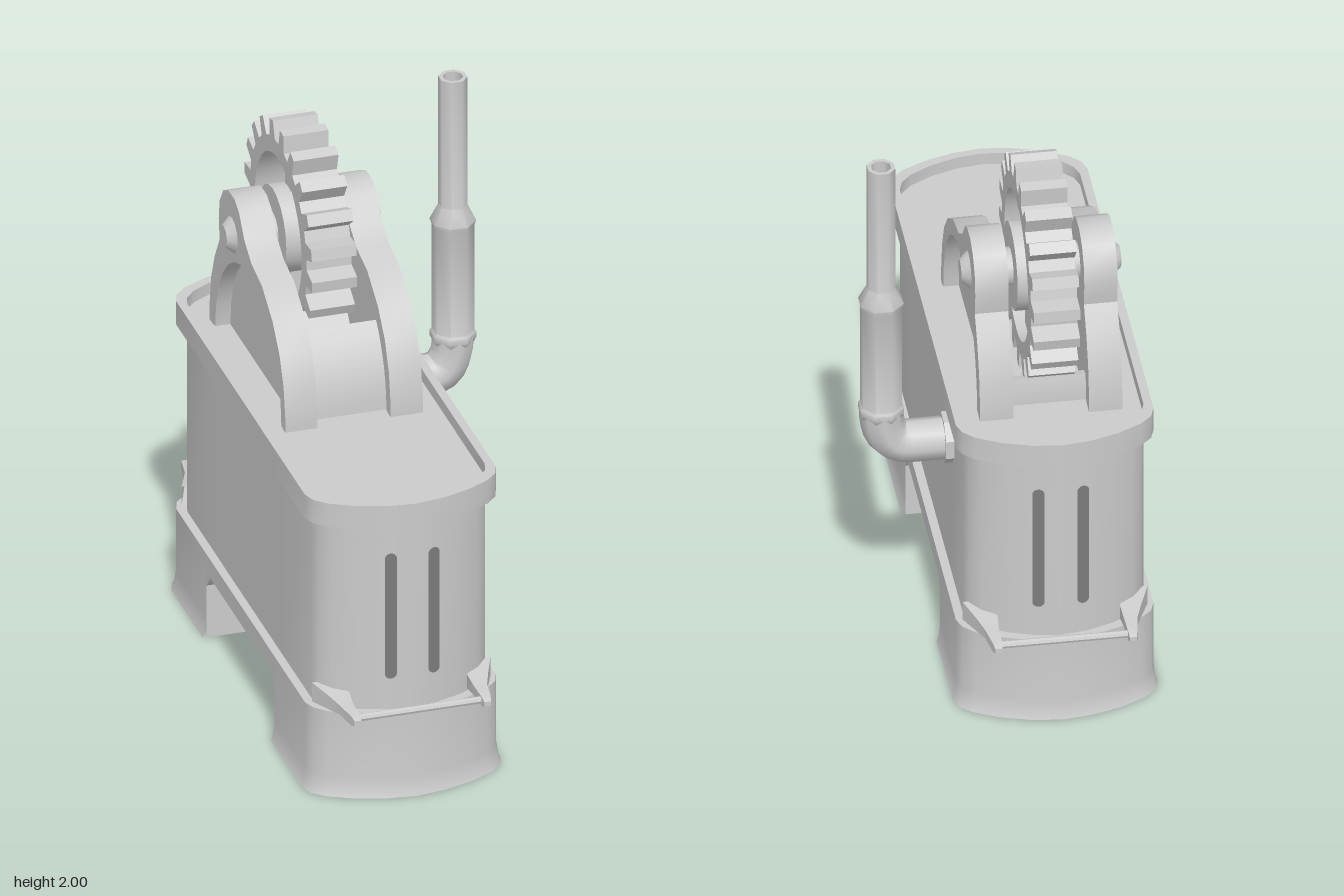
import * as THREE from 'three';
import { toCreasedNormals } from 'three/addons/utils/BufferGeometryUtils.js';

const grey = new THREE.MeshStandardMaterial({ color: 0xcccccc, side: THREE.DoubleSide });
const dark = new THREE.MeshStandardMaterial({ color: 0x7c7c7c, side: THREE.DoubleSide });

function add(parent, name, geometry, crease = 0.6, material = grey) {
  const mesh = new THREE.Mesh(toCreasedNormals(geometry, crease), material);
  mesh.name = name;
  parent.add(mesh);
  return mesh;
}

// Skin a list of equally long point rings
function loft(rings, closed = true) {
  const n = rings[0].length, index = [];
  const steps = closed ? n : n - 1;
  for (let r = 0; r < rings.length - 1; r++) {
    for (let i = 0; i < steps; i++) {
      const a = r * n + i, b = r * n + (i + 1) % n;
      index.push(a, a + n, b, b, a + n, b + n);
    }
  }
  const g = new THREE.BufferGeometry();
  g.setAttribute('position', new THREE.Float32BufferAttribute(rings.flat(2), 3));
  g.setIndex(index);
  return g;
}

// Rounded end of the footprint, from the +x side round to the -x side
const quarter = [[0.34, 0.385], [0.34, 0.73], [0.325, 0.775], [0.285, 0.815], [0.2, 0.86], [0.1, 0.892], [0, 0.905]];
function endCurve(inset, y, side = 1) {
  const half = quarter.map(([x, z], i) => [x * (0.34 - inset) / 0.34, y, i ? z - Math.min(inset, 0.045) : z]);
  const other = half.slice(0, -1).reverse().map(([x, yy, z]) => [-x, yy, z]);
  return [...half, ...other].map(([x, yy, z]) => [x * side, yy, z * side]);
}
const loop = (inset, y) => [...endCurve(inset, y), ...endCurve(inset, y, -1)];

// Shape drawn in (z, y), extruded along x
function extrudeX(shape, x0, width) {
  const g = new THREE.ExtrudeGeometry(shape, { depth: width, bevelEnabled: false, curveSegments: 16 });
  return g.rotateY(-Math.PI / 2).translate(x0 + width, 0, 0);
}
const shapeOf = pts => new THREE.Shape(pts.map(p => new THREE.Vector2(...p)));
function arc(radius, from, to, steps = 14) {
  return Array.from({ length: steps + 1 }, (_, i) => {
    const t = from + (to - from) * i / steps;
    return [-0.215 + radius * Math.cos(t), 1.08 + (radius + 0.02) * Math.sin(t)];
  });
}

function buildBody(g) {
  add(g, 'tank', loft([loop(0.34, 0.32), loop(0, 0.32), loop(0.03, 0.32), loop(0.03, 1.03)]));
  add(g, 'rimAndDeck', loft([loop(0.03, 1.03), loop(0, 1.03), loop(0, 1.12), loop(0.03, 1.12), loop(0.03, 1.075), loop(0.34, 1.075)]));

  // Hollow feet joined by an arch
  for (const s of [1, -1]) {
    add(g, s > 0 ? 'frontFoot' : 'backFoot', loft([[-0.013, 0], [-0.006, 0.02], [0, 0.07], [0, 0.32]].map(([d, y]) => endCurve(d, y, s)), false));
    const panel = shapeOf([[-0.385, 0.32], [-0.385, 0.2], [-0.345, 0.25], [0.345, 0.25], [0.385, 0.2], [0.385, 0.32]]);
    add(g, 'archSide', new THREE.ShapeGeometry(panel).rotateY(-Math.PI / 2).translate(0.34 * s, 0, 0));
  }
  const arch = [[-0.385, 0], [-0.385, 0.2], [-0.345, 0.25], [0.345, 0.25], [0.385, 0.2], [0.385, 0]];
  add(g, 'archTunnel', loft([0.34, -0.34].map(x => arch.map(([z, y]) => [x, y, z])), false));

  // Pairs of rounded slots at both ends
  const slot = new THREE.Shape();
  slot.absarc(0, 0.9, 0.021, 0, Math.PI);
  slot.absarc(0, 0.46, 0.021, Math.PI, Math.PI * 2);
  for (const end of [0, Math.PI]) {
    for (const s of [1, -1]) {
      const geo = new THREE.ShapeGeometry(slot).rotateY(s * 0.14).translate(s * 0.077, 0, 0.868);
      add(g, 'slot', geo.rotateY(end), 0.6, dark);
    }
  }
}

function buildHandle() {
  const g = new THREE.Group();
  g.name = 'handle';
  // z, outer x, inner x, bottom, top
  const sections = [[0.74, 0.318, 0.25, 0.325, 0.397], [0.82, 0.285, 0.21, 0.33, 0.383], [0.88, 0.262, 0.215, 0.335, 0.37],
    [0.965, 0.248, 0.217, 0.334, 0.369], [0.985, 0.243, 0.219, 0.343, 0.36]];
  const rings = sections.map(([z, a, b, lo, hi]) => [[a, lo, z], [a, hi, z], [b, hi, z], [b, lo, z]]);
  const [z, a, b, lo, hi] = sections.at(-1);
  rings.push(Array(4).fill([(a + b) / 2, (lo + hi) / 2, z]));
  for (const s of [1, -1]) {
    add(g, 'handleArm', loft(rings.map(r => r.map(([x, y, zz]) => [x * s, y, zz]))));
  }
  add(g, 'handleBar', new THREE.CylinderGeometry(0.013, 0.013, 0.46, 8).rotateZ(Math.PI / 2).translate(0, 0.352, 0.95));
  return g;
}

function buildBrackets(g) {
  const outline = [[0.205, 1.07], [0.205, 1.13], [0.185, 1.24], [0.14, 1.34], [0.06, 1.43], [-0.06, 1.505], [-0.18, 1.53],
    [-0.26, 1.58], [-0.32, 1.655], [-0.37, 1.68], [-0.44, 1.68], [-0.5, 1.65], [-0.54, 1.59], [-0.55, 1.52], [-0.54, 1.44],
    [-0.595, 1.35], [-0.635, 1.25], [-0.655, 1.13], [-0.655, 1.07]];
  const rim = shapeOf([...outline, ...arc(0.375, Math.PI, 0)]);
  const panel = shapeOf(arc(0.38, 0, Math.PI));
  for (const s of [1, -1]) {
    add(g, 'bracketRim', extrudeX(rim, s > 0 ? 0.13 : -0.245, 0.115));
    add(g, 'bracketPanel', extrudeX(panel, s > 0 ? 0.131 : -0.191, 0.06));
  }
  // Curved guards closing the gap between the brackets
  for (const [name, from, to] of [['frontGuard', 0, 0.82], ['backGuard', Math.PI - 0.25, Math.PI]]) {
    const guard = shapeOf([...arc(0.37, from, to, 6), ...arc(0.33, to, from, 6)]);
    add(g, name, extrudeX(guard, -0.14, 0.28));
  }
}

function buildGear(g) {
  const gear = new THREE.Group();
  gear.name = 'gear';
  gear.position.set(0, 1.53, -0.4);
  g.add(gear);

  const teeth = 20, pts = [];
  for (let i = 0; i < teeth; i++) {
    // Angle as fraction of the tooth pitch, radius
    for (const [f, r] of [[-0.3, 0.322], [-0.17, 0.386], [0.17, 0.386], [0.3, 0.322]]) {
      const t = Math.PI / 2 - 0.1 + (i + f) * Math.PI * 2 / teeth;
      pts.push([r * Math.cos(t), r * Math.sin(t)]);
    }
  }
  const ring = shapeOf(pts);
  ring.holes.push(new THREE.Path().absarc(0, 0, 0.265, 0, Math.PI * 2, true));
  add(gear, 'toothedRing', extrudeX(ring, -0.08, 0.16), 0.4);
  add(gear, 'hub', new THREE.CylinderGeometry(0.155, 0.155, 0.2, 20).rotateZ(Math.PI / 2));
  for (const s of [1, -1]) {
    add(gear, 'spoke', new THREE.BoxGeometry(0.09, 0.16, 0.07).translate(0, s * 0.2, 0));
  }
  const axle = [[0, -0.275], [0.038, -0.275], [0.066, -0.245], [0.066, 0.245], [0.038, 0.275], [0, 0.275]];
  add(gear, 'axle', new THREE.LatheGeometry(axle.map(p => new THREE.Vector2(...p)), 12).rotateZ(Math.PI / 2));
}

function buildPipe() {
  const g = new THREE.Group();
  g.name = 'exhaustPipe';
  g.position.set(0.41, 0, -0.425);
  const profile = [[0.07, 0.98], [0.08, 1.0], [0.08, 1.02], [0.073, 1.03], [0.073, 1.43], [0.08, 1.45], [0.05, 1.51],
    [0.05, 2], [0.035, 2], [0.035, 1.6], [0, 1.6]];
  add(g, 'stack', new THREE.LatheGeometry(profile.map(p => new THREE.Vector2(...p)), 8, Math.PI / 8), 0.85);

  const path = new THREE.CurvePath();
  const v = (x, y) => new THREE.Vector3(x, y, 0);
  path.add(new THREE.LineCurve3(v(-0.24, 0.865), v(-0.09, 0.865)));
  path.add(new THREE.QuadraticBezierCurve3(v(-0.09, 0.865), v(0, 0.865), v(0, 1.01)));
  add(g, 'elbow', new THREE.TubeGeometry(path, 12, 0.076, 8), 0.85);
  add(g, 'flange', new THREE.CylinderGeometry(0.09, 0.09, 0.03, 8, 1, false, Math.PI / 8).rotateZ(Math.PI / 2).translate(-0.226, 0.865, 0));
  return g;
}

export function createModel() {
  const model = new THREE.Group();
  model.name = 'gearMachine';

  const machine = new THREE.Group();
  machine.name = 'machine';
  machine.position.x = -0.14;
  model.add(machine);

  buildBody(machine);
  buildBrackets(machine);
  buildGear(machine);

  const front = buildHandle();
  const back = buildHandle();
  back.rotation.y = Math.PI;
  machine.add(front, back);

  model.add(buildPipe());
  return model;
}
